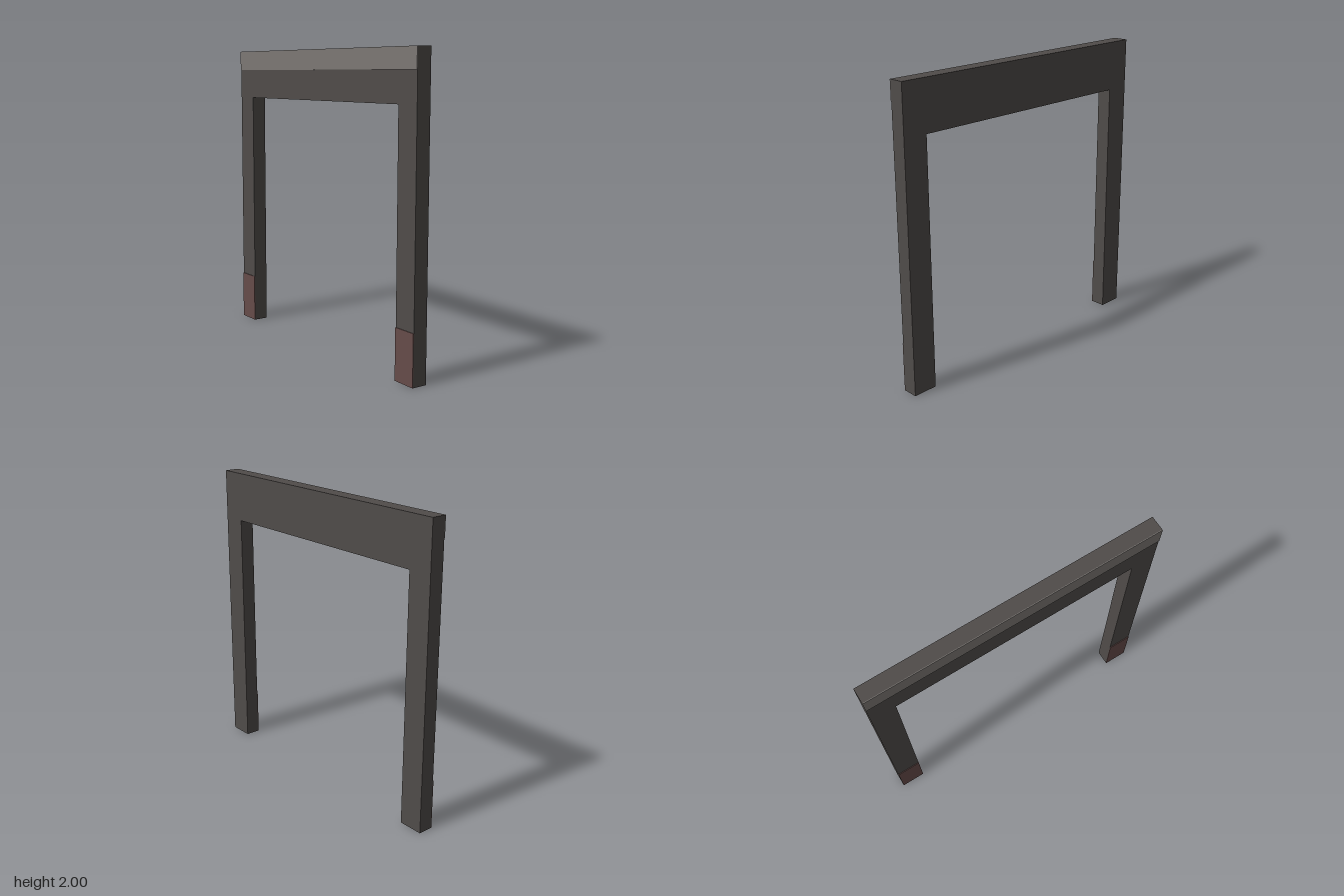
import * as THREE from 'three';

const FACE = -0.047; // back plane of the frame, where the thin panels are fixed
const SKIN = 0.005; // panel thickness

export function createModel() {
  const model = new THREE.Group();
  const dark = new THREE.MeshStandardMaterial({ color: 0x504c4a });
  const light = new THREE.MeshStandardMaterial({ color: 0x7c7874 });
  const brown = new THREE.MeshStandardMaterial({ color: 0x664c4a });

  // Upright portal outline: two legs joined by a deep top beam
  const outline = new THREE.Shape([
    [-1, 0], [-0.833, 0], [-0.833, 1.667], [0.833, 1.667],
    [0.833, 0], [1, 0], [1, 2], [-1, 2],
  ].map(([z, y]) => new THREE.Vector2(z, y)));
  const frameGeometry = new THREE.ExtrudeGeometry(outline, { depth: 0.099, bevelEnabled: false });
  frameGeometry.rotateY(Math.PI / 2).translate(FACE, 0, 0);
  const frame = new THREE.Mesh(frameGeometry, dark);
  frame.name = 'doorFrame';
  model.add(frame);

  // Thin panels standing slightly proud of the -x side
  const addPanel = (name, height, length, y, z, material) => {
    const panel = new THREE.Mesh(new THREE.BoxGeometry(SKIN, height, length), material);
    panel.name = name;
    panel.position.set(FACE - SKIN / 2, y, z);
    model.add(panel);
  };
  addPanel('topStrip', 0.133, 2, 1.9335, 0, light);
  for (const side of [-1, 1]) {
    addPanel(side > 0 ? 'frontFootPanel' : 'backFootPanel', 0.333, 0.167, 0.1665, side * 0.9165, brown);
  }

  return model;
}
